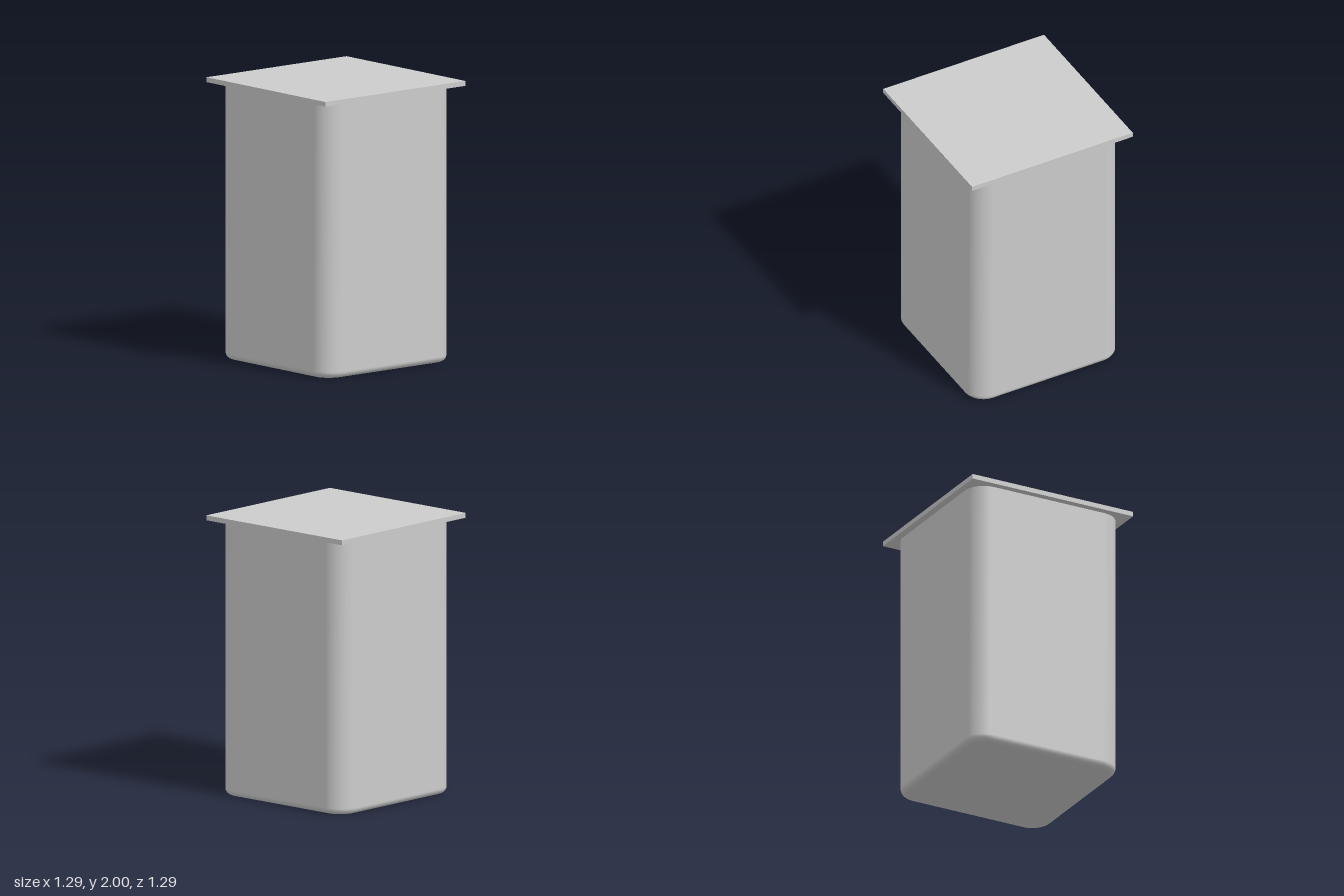
import * as THREE from 'three';

const HALF = 0.594, CORNER = 0.15, FILLET = 0.045, LID = 1.29, LID_H = 0.035, HEIGHT = 2;
const STEPS = 10; // segments per rounded corner

// Rounded-square outline, pulled in by "inset"
function outline(inset) {
  const pts = [], c = HALF - CORNER, r = CORNER - inset;
  for (let q = 0; q < 4; q++) {
    const mid = (q + 0.5) * Math.PI / 2;
    const cx = Math.sign(Math.cos(mid)) * c, cz = Math.sign(Math.sin(mid)) * c;
    for (let i = 0; i <= STEPS; i++) {
      const a = (q + i / STEPS) * Math.PI / 2;
      pts.push([cx + r * Math.cos(a), cz + r * Math.sin(a)]);
    }
  }
  return pts;
}

// Bin body: stacked outlines with a filleted bottom edge, closed below
function bodyGeometry() {
  const levels = [];
  for (let i = 0; i <= 6; i++) {
    const t = i / 6 * Math.PI / 2;
    levels.push([FILLET * (1 - Math.sin(t)), FILLET * (1 - Math.cos(t))]);
  }
  levels.push([0, HEIGHT - LID_H]);

  const pos = [], idx = [], n = 4 * (STEPS + 1);
  for (const [inset, y] of levels) for (const [x, z] of outline(inset)) pos.push(x, y, z);
  for (let l = 0; l < levels.length - 1; l++) {
    for (let i = 0; i < n; i++) {
      const a = l * n + i, b = l * n + (i + 1) % n;
      idx.push(a, a + n, b, b, a + n, b + n);
    }
  }
  const centre = pos.length / 3;
  pos.push(0, 0, 0);
  for (let i = 0; i < n; i++) idx.push(centre, i, (i + 1) % n);

  const g = new THREE.BufferGeometry();
  g.setAttribute('position', new THREE.Float32BufferAttribute(pos, 3));
  g.setIndex(idx);
  g.computeVertexNormals();
  return g;
}

export function createModel() {
  const group = new THREE.Group();
  group.name = 'lidded bin';
  const material = new THREE.MeshStandardMaterial({ color: 0xcccccc });

  const body = new THREE.Mesh(bodyGeometry(), material);
  body.name = 'body';

  // Thin square lid overhanging the body
  const lid = new THREE.Mesh(new THREE.BoxGeometry(LID, LID_H, LID), material);
  lid.name = 'lid';
  lid.position.y = HEIGHT - LID_H / 2;

  group.add(body, lid);
  return group;
}
